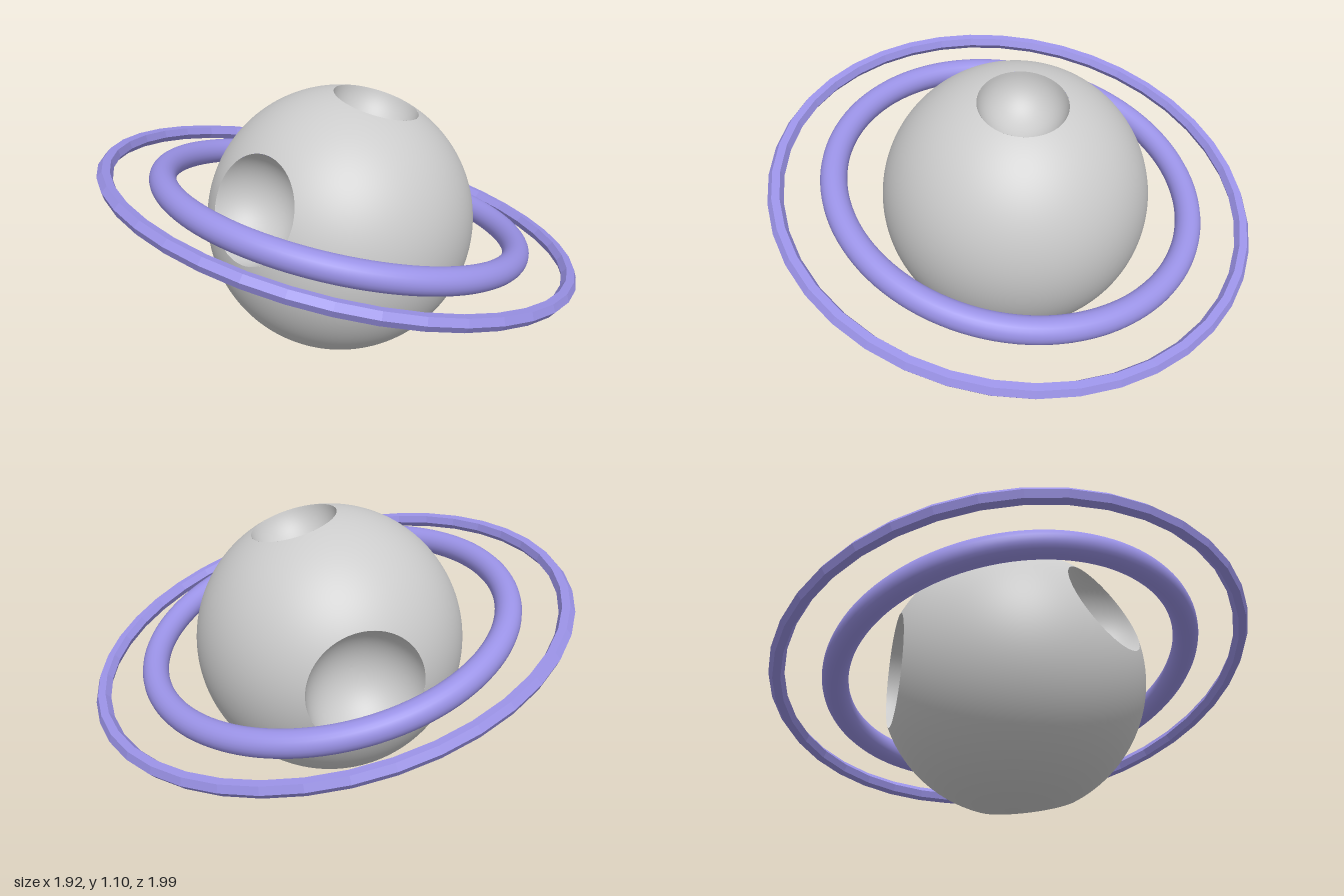
import * as THREE from 'three';

const R = 0.55;
const CENTRE = new THREE.Vector3(-0.003, 0.55, -0.013);

// Crater axis (from the planet's centre) and radius of the scooping sphere
const CRATERS = [
  { dir: [0.125, 0.5, 0.07], r: 0.178 },
  { dir: [-0.46, 0.195, 0.1], r: 0.218 },
  { dir: [0.2, 0, -0.46], r: 0.24 },
  { dir: [0.14, -0.45, 0.19], r: 0.217 },
].map(({ dir, r }) => ({
  axis: new THREE.Vector3(...dir).normalize(),
  r,
  angle: 2 * Math.asin(r / (2 * R)), // half-angle of the rim seen from the centre
}));

// Sphere with round holes: inner vertices slide out to the rim, faces inside go
function planetGeometry() {
  const geo = new THREE.SphereGeometry(R, 160, 100);
  const pos = geo.attributes.position;
  const normal = geo.attributes.normal;
  const inside = [];
  const v = new THREE.Vector3();
  for (let i = 0; i < pos.count; i++) {
    v.fromBufferAttribute(pos, i).normalize();
    const crater = CRATERS.findIndex((c) => v.angleTo(c.axis) < c.angle);
    inside.push(crater);
    if (crater < 0) continue;
    const { axis, angle } = CRATERS[crater];
    const side = v.clone().addScaledVector(axis, -v.dot(axis)).normalize();
    v.copy(axis).multiplyScalar(Math.cos(angle)).addScaledVector(side, Math.sin(angle));
    normal.setXYZ(i, v.x, v.y, v.z);
    pos.setXYZ(i, v.x * R, v.y * R, v.z * R);
  }
  const kept = [];
  const index = geo.index.array;
  for (let i = 0; i < index.length; i += 3) {
    const face = [index[i], index[i + 1], index[i + 2]];
    if (face.some((k) => inside[k] < 0)) kept.push(...face);
  }
  geo.setIndex(kept);
  return geo;
}

// Bowl along +y, profile running from the rim down so that it faces inwards
function bowlGeometry(r) {
  const start = Math.asin(r / (2 * R));
  const points = [];
  for (let i = 0; i <= 20; i++) {
    const a = start + (Math.PI / 2 - start) * (i / 20);
    points.push(new THREE.Vector2(i === 20 ? 0 : r * Math.cos(a), R - r * Math.sin(a)));
  }
  return new THREE.LatheGeometry(points, 64);
}

export function createModel() {
  const model = new THREE.Group();
  model.name = 'ringedPlanet';
  const grey = new THREE.MeshStandardMaterial({ color: 0xcccccc });
  const bowlGrey = new THREE.MeshStandardMaterial({ color: 0xcccccc, side: THREE.DoubleSide });

  const add = (parent, name, geometry, material) => {
    const mesh = new THREE.Mesh(geometry, material);
    mesh.name = name;
    parent.add(mesh);
    return mesh;
  };

  // Planet with its craters
  const planet = new THREE.Group();
  planet.name = 'planet';
  planet.position.copy(CENTRE);
  model.add(planet);
  add(planet, 'planetSurface', planetGeometry(), grey);
  const up = new THREE.Vector3(0, 1, 0);
  CRATERS.forEach(({ axis, r }, i) => {
    const bowl = add(planet, `crater${i + 1}`, bowlGeometry(r), bowlGrey);
    bowl.quaternion.setFromUnitVectors(up, axis);
  });

  // Tilted rings: a smooth thick one and a thin faceted one
  const violet = new THREE.MeshStandardMaterial({ color: 0x9a92e6 });
  const violetFlat = new THREE.MeshStandardMaterial({ color: 0x9a92e6, flatShading: true });
  const ring = (name, geometry, material, y, tiltX) => {
    const mesh = add(model, name, geometry.rotateX(Math.PI / 2), material);
    mesh.position.set(0, y, -0.008);
    mesh.rotation.set(tiltX, 0, THREE.MathUtils.degToRad(-15));
  };
  ring('innerRing', new THREE.TorusGeometry(0.738, 0.053, 24, 120), violet, 0.603, 0);
  ring('outerRing', new THREE.TorusGeometry(0.965, 0.031, 6, 40), violetFlat, 0.588, 0.035);

  return model;
}
